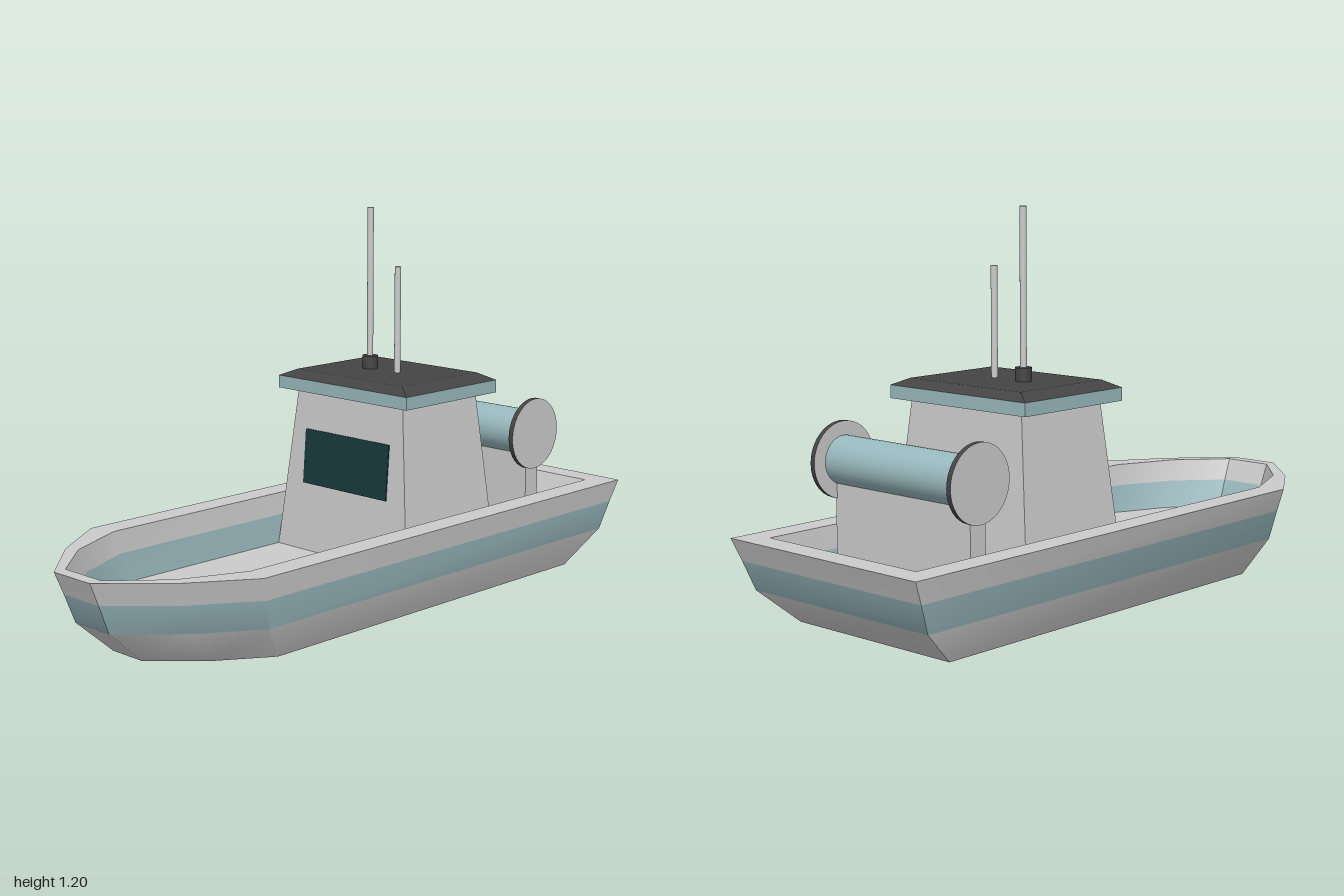
import * as THREE from 'three';
import { toCreasedNormals } from 'three/addons/utils/BufferGeometryUtils.js';

const paint = (color) => new THREE.MeshStandardMaterial({ color });
const grey = paint(0xcccccc);
const teal = paint(0x99b9be);
const dark = paint(0x444444);
const glass = paint(0x18393b);

// Deck outlines: bow corners on the +z side, mirrored to close the loop
const mirrorOutline = (side) => [
  ...side,
  ...side.slice().reverse().map(([x, z]) => [x, -z]),
];
const outer = mirrorOutline([[-1, 0.08], [-0.83, 0.25], [-0.635, 0.38], [1, 0.38]]);
const inner = mirrorOutline([[-0.96, 0.08], [-0.81, 0.215], [-0.61, 0.3], [0.922, 0.3]]);

// Hull skin: keel centre, up the outside, over the gunwale, down to the deck centre
function hullGeometry() {
  const rings = [
    [outer, 0, 0], [outer, 0.81, 0], [outer, 0.934, 0.11], [outer, 0.97, 0.2], [outer, 1, 0.27],
    [inner, 1, 0.27], [inner, 0.97, 0.2], [inner, 0.934, 0.11], [inner, 0, 0.11],
  ];
  const tealBands = [2, 6];
  const positions = [];
  const geometry = new THREE.BufferGeometry();
  const point = ([outline, scale, y], i) => {
    const [x, z] = outline[i % outline.length];
    return [x * scale, y, z * scale];
  };
  for (let r = 0; r < rings.length - 1; r++) {
    const start = positions.length / 3;
    for (let i = 0; i < outer.length; i++) {
      const a = point(rings[r], i), b = point(rings[r], i + 1);
      const c = point(rings[r + 1], i + 1), d = point(rings[r + 1], i);
      if (rings[r][1] > 0) positions.push(...a, ...b, ...c);
      if (rings[r + 1][1] > 0) positions.push(...a, ...c, ...d);
    }
    geometry.addGroup(start, positions.length / 3 - start, tealBands.includes(r) ? 1 : 0);
  }
  geometry.setAttribute('position', new THREE.Float32BufferAttribute(positions, 3));
  return toCreasedNormals(geometry, 0.7);
}

// Box standing on y = 0 whose top is scaled by (sx, sz)
function taperedBox(w, h, d, sx, sz) {
  const geometry = new THREE.BoxGeometry(w, h, d).translate(0, h / 2, 0);
  const p = geometry.attributes.position;
  for (let i = 0; i < p.count; i++) {
    if (p.getY(i) > h / 2) p.setXYZ(i, p.getX(i) * sx, h, p.getZ(i) * sz);
  }
  geometry.computeVertexNormals();
  return geometry;
}

export function createModel() {
  const model = new THREE.Group();
  model.name = 'boat';
  const add = (name, geometry, material, x = 0, y = 0, z = 0, parent = model) => {
    const mesh = new THREE.Mesh(geometry, material);
    mesh.name = name;
    mesh.position.set(x, y, z);
    parent.add(mesh);
    return mesh;
  };

  add('hull', hullGeometry(), [grey, teal]);

  // Wheelhouse with a sloping windscreen towards the bow
  const house = new THREE.Group();
  house.name = 'wheelhouse';
  house.position.x = 0.264;
  model.add(house);
  add('cabin', taperedBox(0.42, 0.515, 0.56, 0.81, 0.8), grey, 0, 0.11, 0, house);
  const windscreen = add('windscreen', new THREE.BoxGeometry(0.008, 0.175, 0.36), glass,
    -0.186, 0.413, 0, house);
  windscreen.rotation.z = -Math.atan(0.04 / 0.515);

  // Roof: teal slab with grey underside and a bevelled dark top
  add('roofSlab', new THREE.BoxGeometry(0.42, 0.04, 0.55),
    [teal, teal, teal, grey, teal, teal], 0, 0.645, 0, house);
  add('roofTop', taperedBox(0.42, 0.022, 0.55, 0.83, 0.82), dark, 0, 0.665, 0, house);

  // Aerials
  const pole = (name, radius, bottom, top, z, material) => add(name,
    new THREE.CylinderGeometry(radius, radius, top - bottom, 20), material,
    0, (bottom + top) / 2, z, house);
  pole('tallAerial', 0.01, 0.68, 1.2, -0.073, grey);
  pole('aerialSocket', 0.025, 0.68, 0.728, -0.073, dark);
  pole('shortAerial', 0.01, 0.68, 1.022, 0.045, grey);

  // Net drum on its stand at the stern
  const winch = new THREE.Group();
  winch.name = 'netDrum';
  winch.position.set(0.664, 0.465, 0);
  model.add(winch);
  add('drumStand', new THREE.BoxGeometry(0.06, 0.355, 0.55), grey, 0, -0.1775, 0, winch);
  const roller = (name, radius, length, z, material) => {
    const geometry = new THREE.CylinderGeometry(radius, radius, length, 40).rotateX(Math.PI / 2);
    add(name, geometry, material, 0, 0, z, winch);
  };
  roller('drum', 0.073, 0.55, 0, teal);
  for (const side of [1, -1]) {
    roller(side > 0 ? 'frontFlange' : 'backFlange', 0.115, 0.016, side * 0.278, [dark, grey, grey]);
  }

  return model;
}
